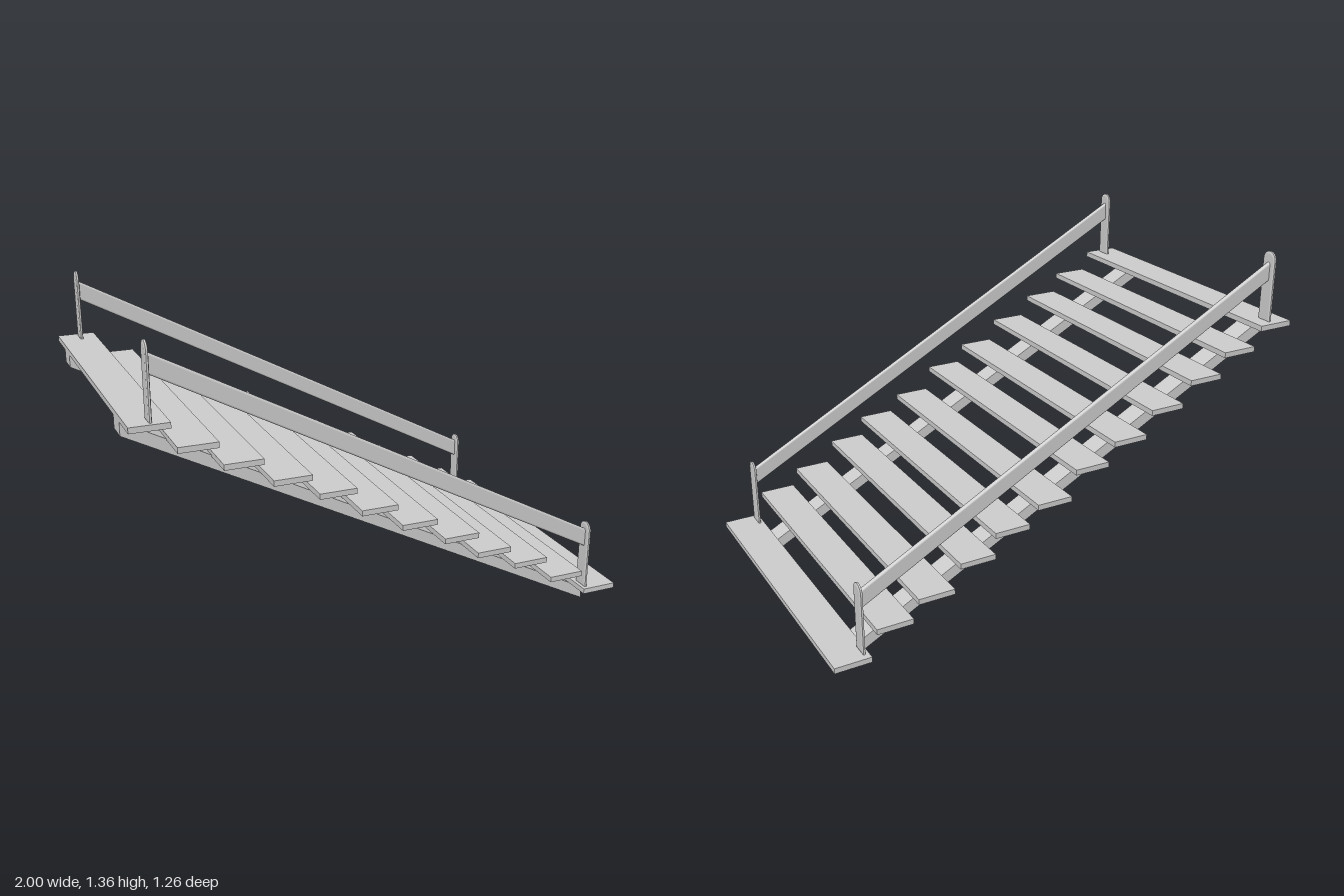
import * as THREE from 'three';

const material = new THREE.MeshStandardMaterial({ color: 0xcccccc, flatShading: true });

function addMesh(parent, geometry, name, x = 0, y = 0, z = 0) {
  const mesh = new THREE.Mesh(geometry, material);
  mesh.name = name;
  mesh.position.set(x, y, z);
  parent.add(mesh);
  return mesh;
}

// Outline with semicircular top (and optionally bottom), in the XY plane
function roundedOutline(width, bottom, top, roundBottom) {
  const r = width / 2;
  const s = new THREE.Shape();
  if (roundBottom) {
    s.absarc(0, bottom + r, r, Math.PI, 2 * Math.PI);
  } else {
    s.moveTo(-r, bottom);
    s.lineTo(r, bottom);
  }
  s.absarc(0, top - r, r, 0, Math.PI);
  s.closePath();
  return s;
}

export function createModel() {
  const group = new THREE.Group();
  group.name = 'staircase';

  // Treads: left edge, centre height, and sideways shift of each plank
  const treads = [
    [-1.0, 1.07, -1], [-0.84, 0.983, 1], [-0.68, 0.897, 1], [-0.5, 0.809, 1],
    [-0.32, 0.723, -1], [-0.16, 0.637, 1], [0.015, 0.541, -1], [0.188, 0.461, 1],
    [0.335, 0.374, 1], [0.515, 0.287, -1], [0.677, 0.202, 1], [0.853, 0.106, -1],
  ];
  const treadGeometry = new THREE.BoxGeometry(0.147, 0.022, 1.24);
  treads.forEach(([x, y, shift], i) =>
    addMesh(group, treadGeometry, `tread${i + 1}`, x + 0.0735, y, shift * 0.008));

  // Sloping stringers with plumb-cut ends
  const stringerShape = new THREE.Shape([
    new THREE.Vector2(-1, 1.008), new THREE.Vector2(0.931, 0),
    new THREE.Vector2(0.931, 0.05), new THREE.Vector2(-1, 1.06),
  ]);
  const stringerGeometry = new THREE.ExtrudeGeometry(stringerShape, { depth: 0.09, bevelEnabled: false });
  stringerGeometry.translate(0, 0, -0.045);
  addMesh(group, stringerGeometry, 'leftSideStringer', 0, 0, 0.437);
  addMesh(group, stringerGeometry, 'rightSideStringer', 0, 0, -0.441);

  // Thin posts with rounded, bevelled tops
  const bevel = 0.008;
  const postGeometry = new THREE.ExtrudeGeometry(
    roundedOutline(0.065 - 2 * bevel, bevel, 0.285 - bevel, false),
    { depth: 0.007, bevelThickness: 0.003, bevelSize: bevel, bevelSegments: 1, curveSegments: 12 });
  postGeometry.translate(0, 0, -0.0035);
  postGeometry.rotateY(Math.PI / 2);

  // Handrail: stadium section along x, sheared down the slope
  const railGeometry = new THREE.ExtrudeGeometry(
    roundedOutline(0.019, -0.0385, 0.0385, true),
    { depth: 1.782, bevelEnabled: false, curveSegments: 8 });
  railGeometry.translate(0, 0, -0.891);
  railGeometry.rotateY(Math.PI / 2);
  const pos = railGeometry.attributes.position;
  for (let i = 0; i < pos.count; i++) pos.setY(i, pos.getY(i) - 0.5335 * pos.getX(i));
  railGeometry.computeVertexNormals();

  for (const [side, z] of [['front', 0.563], ['back', -0.569]]) {
    const railing = new THREE.Group();
    railing.name = `${side}Railing`;
    addMesh(railing, postGeometry, 'upperPost', -0.918, 1.076, z);
    addMesh(railing, postGeometry, 'lowerPost', 0.872, 0.114, z);
    addMesh(railing, railGeometry, 'handrail', -0.023, 0.806, z);
    group.add(railing);
  }
  return group;
}
